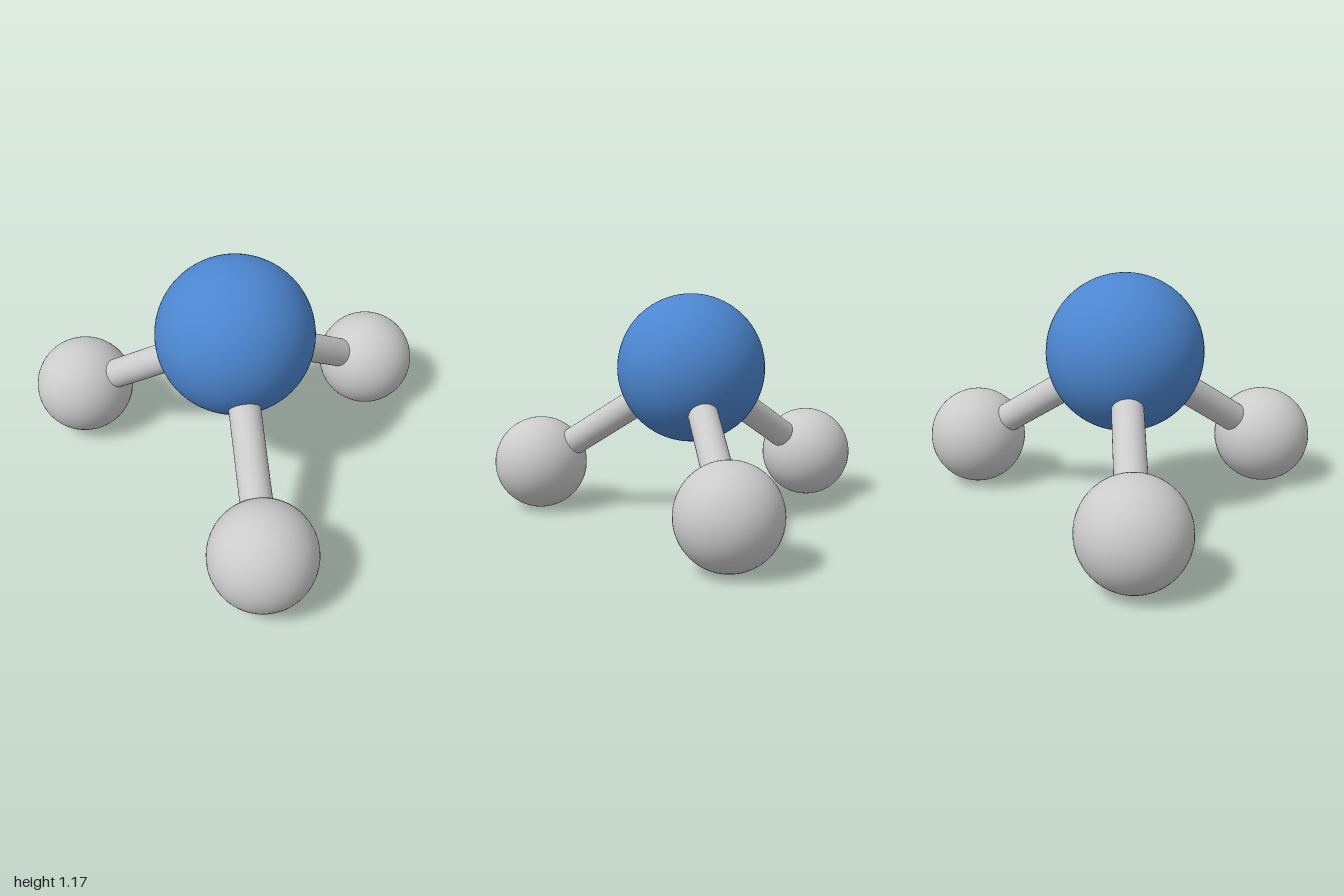
import * as THREE from 'three';

const CORE_RADIUS = 0.376;
const BALL_RADIUS = 0.2466;
const ROD_RADIUS = 0.074;
const REACH = 0.87; // horizontal distance from the core to each outer ball

export function createModel() {
  const group = new THREE.Group();
  const grey = new THREE.MeshStandardMaterial({ color: 0xcccccc });
  const blue = new THREE.MeshStandardMaterial({ color: 0x4c86d0 });

  const add = (name, geometry, material, position) => {
    const mesh = new THREE.Mesh(geometry, material);
    mesh.name = name;
    mesh.position.copy(position);
    group.add(mesh);
    return mesh;
  };

  // Large central ball
  const core = new THREE.Vector3(-0.2175, 0.795, 0);
  add('centralBall', new THREE.SphereGeometry(CORE_RADIUS, 64, 40), blue, core);

  // Three outer balls, evenly spread below the centre, each joined by a rod
  const ballGeometry = new THREE.SphereGeometry(BALL_RADIUS, 48, 32);
  const up = new THREE.Vector3(0, 1, 0);
  ['left', 'rightFront', 'rightBack'].forEach((side, i) => {
    const angle = (i * Math.PI * 2) / 3;
    const end = new THREE.Vector3(
      core.x + REACH * Math.cos(angle), BALL_RADIUS, REACH * Math.sin(angle));
    add(`${side}Ball`, ballGeometry, grey, end);

    const axis = end.clone().sub(core);
    const rod = add(`${side}Rod`,
      new THREE.CylinderGeometry(ROD_RADIUS, ROD_RADIUS, axis.length(), 32),
      grey, core.clone().add(end).multiplyScalar(0.5));
    rod.quaternion.setFromUnitVectors(up, axis.normalize());
  });

  return group;
}
